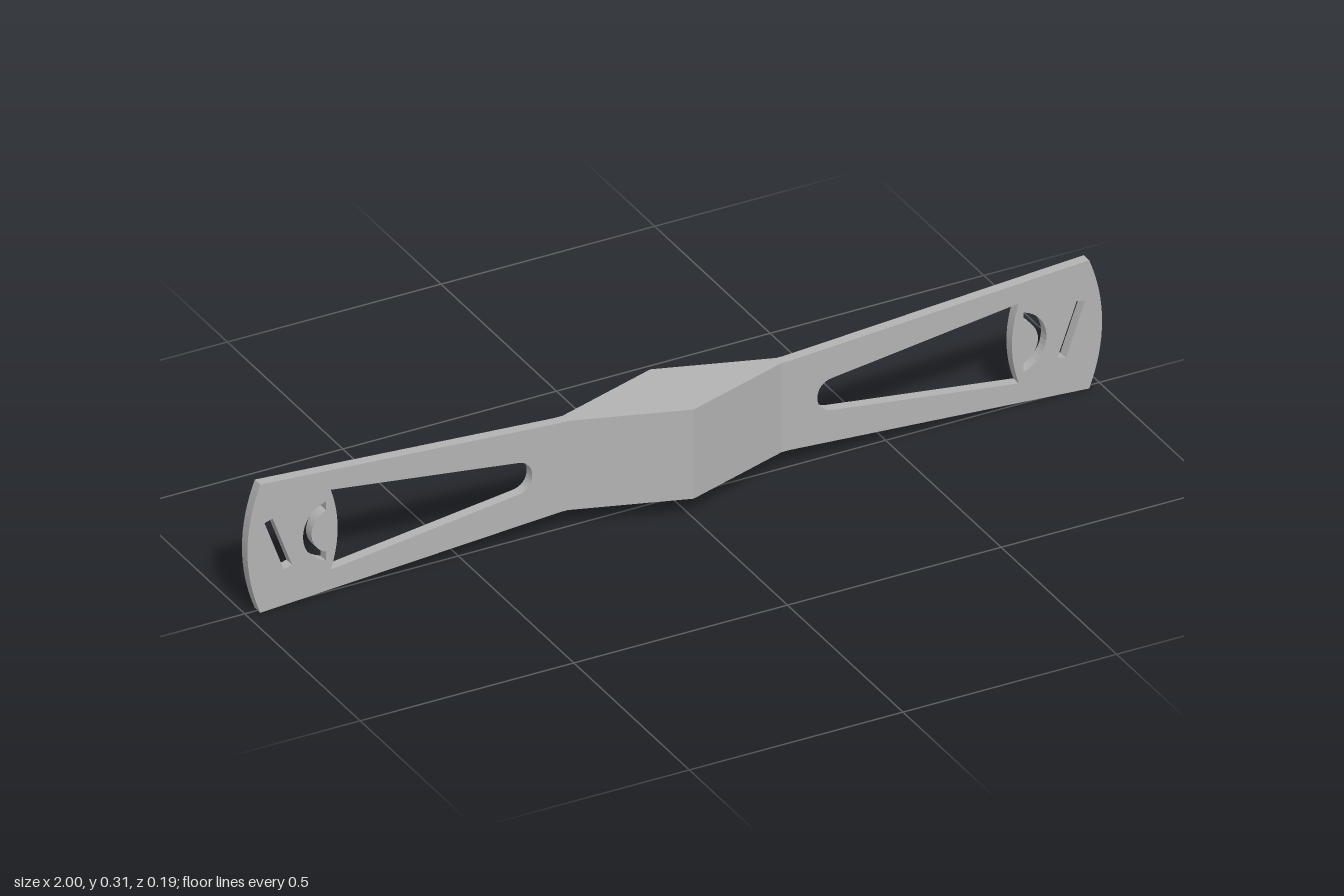
import * as THREE from 'three';

const MID = 0.1525;    // height of the horizontal symmetry line
const HALF = 0.012;    // half thickness of the plate
const HUB_HALF = 0.106; // half height of the hub

// Closed path from [x, y] points, mirrored by sign and lifted to mid height
const path = (points, side = 1) =>
  new THREE.Path(points.map(([x, y]) => new THREE.Vector2(x * side, y + MID)));

// Points along a circular arc
function arc(cx, cy, r, from, to, steps = 16) {
  return Array.from({ length: steps + 1 }, (_, i) => {
    const a = from + ((to - from) * i) / steps;
    return [cx + r * Math.cos(a), cy + r * Math.sin(a)];
  });
}

// Shallow vertical bow through (x, -h) and (x, h) with the given bulge in x
function bow(x, h, bulge, steps = 16) {
  return Array.from({ length: steps + 1 }, (_, i) => {
    const t = (i / steps) * 2 - 1;
    return [x + bulge * (1 - t * t), t * h];
  });
}

function plateShape() {
  const end = bow(0.97, 0.1525, 0.03);
  const outline = [
    [0.27, -HUB_HALF], ...end, [0.27, HUB_HALF],
    [-0.27, HUB_HALF], ...end.map(([x, y]) => [-x, -y]), [-0.27, -HUB_HALF],
  ];
  const shape = new THREE.Shape(outline.map(([x, y]) => new THREE.Vector2(x, y + MID)));

  for (const side of [1, -1]) {
    // Tapered window: bowed outer edge, rounded inner end
    const window = [
      ...bow(0.805, 0.095, -0.016),
      ...arc(0.37, 0.002, 0.036, Math.PI / 2 + 0.1, Math.PI, 8),
      ...arc(0.37, -0.002, 0.036, Math.PI, Math.PI * 1.5 - 0.1, 8),
    ];
    // Curved slot
    const curved = [
      ...arc(0.797, 0, 0.073, -1.3, 1.3),
      ...arc(0.797, 0, 0.053, 1.2, -1.2),
    ];
    // Leaning slot
    const leaning = [[0.896, -0.058], [0.915, -0.064], [0.96, 0.058], [0.941, 0.064]];
    for (const hole of [window, curved, leaning]) shape.holes.push(path(hole, side));
  }
  return shape;
}

export function createModel() {
  const model = new THREE.Group();
  model.name = 'handle';
  const grey = new THREE.MeshStandardMaterial({ color: 0xb2b2b2 });
  grey.name = 'grey';

  // Long flared plate with openings
  const plateGeometry = new THREE.ExtrudeGeometry(plateShape(), {
    depth: HALF * 2, bevelEnabled: false,
  });
  plateGeometry.translate(0, 0, -HALF);
  const plate = new THREE.Mesh(plateGeometry, grey);
  plate.name = 'plate';
  model.add(plate);

  // Diamond-shaped hub, extruded upward
  const hubShape = new THREE.Shape([
    [0.25, -HALF], [0.25, HALF], [0, 0.094], [-0.25, HALF], [-0.25, -HALF], [0, -0.094],
  ].map(([x, y]) => new THREE.Vector2(x, y)));
  const hubGeometry = new THREE.ExtrudeGeometry(hubShape, {
    depth: HUB_HALF * 2, bevelEnabled: false,
  });
  hubGeometry.rotateX(-Math.PI / 2).translate(0, MID - HUB_HALF, 0);
  const hub = new THREE.Mesh(hubGeometry, grey);
  hub.name = 'hub';
  model.add(hub);

  return model;
}
